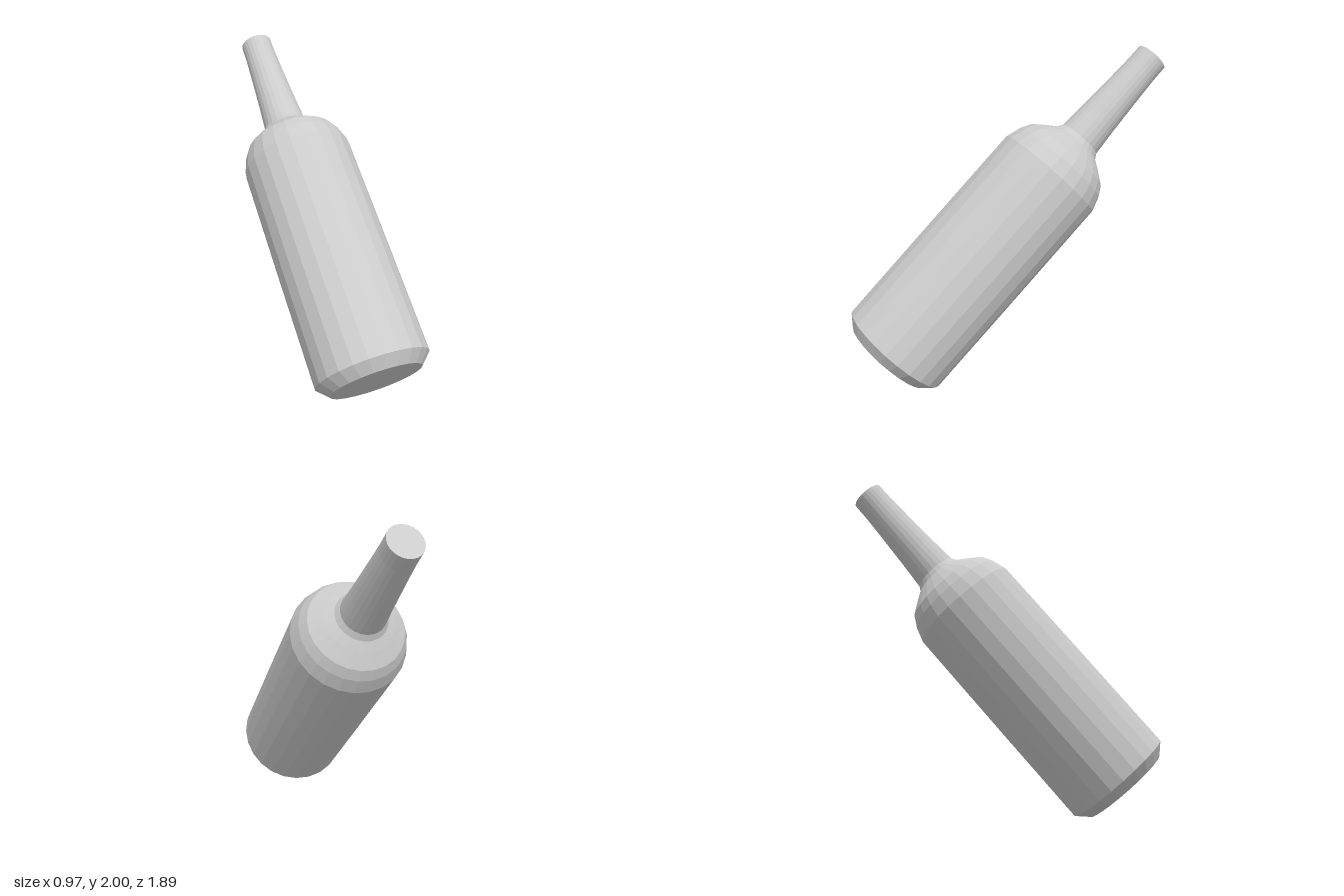
import * as THREE from 'three';

export function createModel() {
  const model = new THREE.Group();
  model.name = 'bottle';
  const material = new THREE.MeshStandardMaterial({ color: 0xcccccc, flatShading: true });

  // Axis runs from the lower rim to the mouth; profiles are [radius, distance along axis]
  const rim = new THREE.Vector3(-0.152, 0.242, 0.69);
  const mouth = new THREE.Vector3(0.346, 1.932, -0.87);
  const axis = mouth.clone().sub(rim);
  const length = axis.length();

  const tilted = new THREE.Group();
  tilted.name = 'tiltedBottle';
  tilted.position.copy(rim);
  tilted.quaternion.setFromUnitVectors(new THREE.Vector3(0, 1, 0), axis.normalize());
  model.add(tilted);

  function turned(name, profile, sides) {
    const points = profile.map(([r, y]) => new THREE.Vector2(r, y));
    const mesh = new THREE.Mesh(new THREE.LatheGeometry(points, sides), material);
    mesh.name = name;
    tilted.add(mesh);
  }

  // Flat base with chamfered rim
  turned('base', [[0, -0.066], [0.279, -0.066], [0.346, 0]], 24);

  // Straight body
  turned('body', [[0.346, 0], [0.347, 0.7], [0.346, 1.41]], 24);

  // Rounded shoulder sweeping into the neck
  turned('shoulder', [
    [0.346, 1.41], [0.318, 1.5], [0.284, 1.56], [0.205, 1.62], [0.155, 1.655], [0.134, 1.69],
  ], 24);

  // Tapered neck with closed mouth
  turned('neck', [
    [0.134, 1.69], [0.122, 1.85], [0.108, 2.1], [0.101, 2.25], [0.1, length], [0, length],
  ], 24);

  return model;
}
